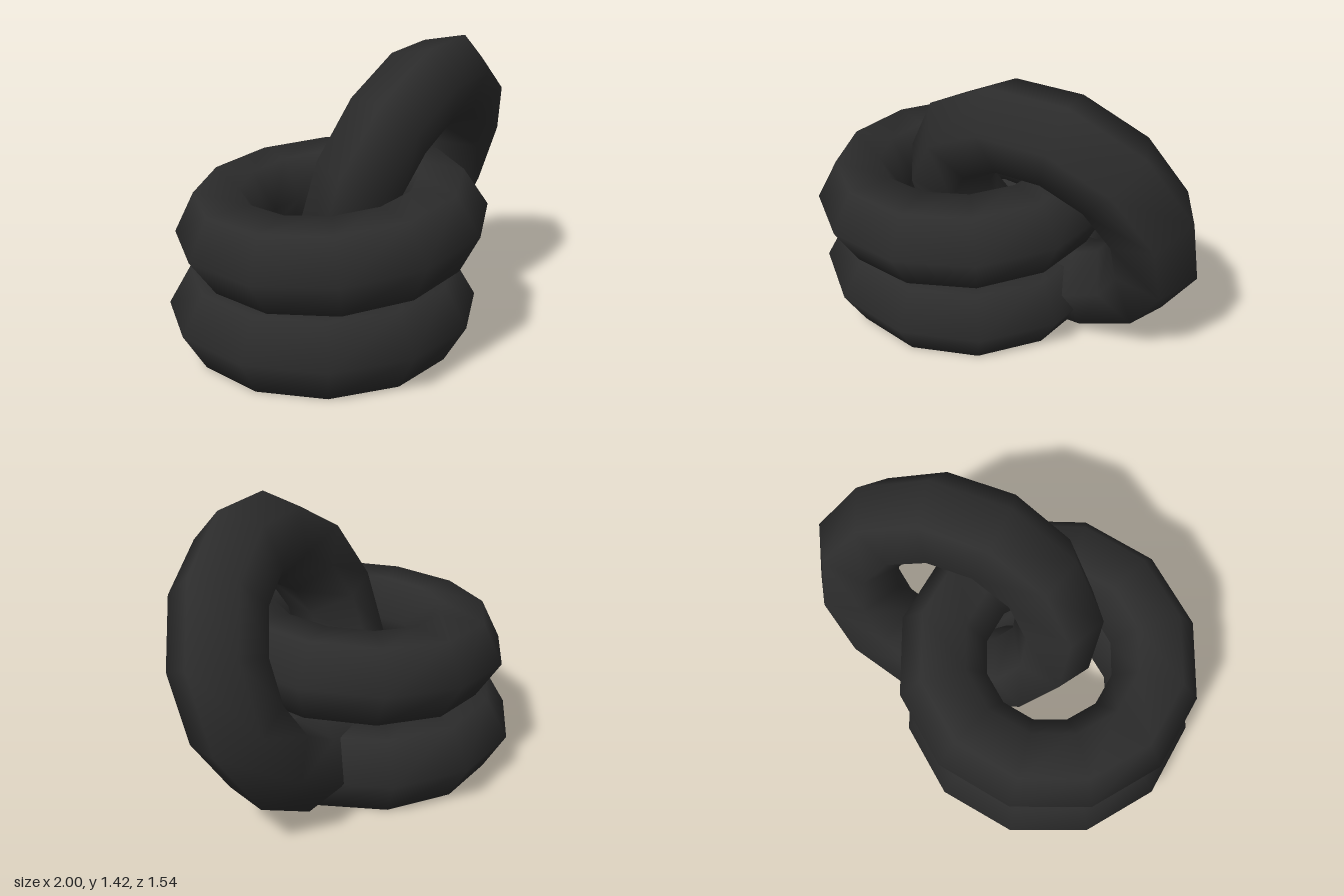
import * as THREE from 'three';

export function createModel() {
  const group = new THREE.Group();
  const material = new THREE.MeshStandardMaterial({ color: 0x2c2c2c });
  material.name = 'charcoal';

  // All links share one coarse, smooth-shaded ring with a six-sided section
  const ringGeometry = new THREE.TorusGeometry(0.537, 0.218, 6, 12);

  function addRing(name, x, y, z) {
    const ring = new THREE.Mesh(ringGeometry, material);
    ring.name = name;
    ring.position.set(x, y, z);
    group.add(ring);
    return ring;
  }

  // Ring lying flat on the ground
  const bottom = addRing('bottomRing', -0.245, 0.189, -0.015);
  bottom.rotation.x = -Math.PI / 2;

  // Ring resting on it, raised slightly toward +x
  const upper = addRing('upperRing', -0.21, 0.62, 0.02);
  upper.rotation.set(-Math.PI / 2, 0.08, 0, 'ZXY');
  upper.rotation.set(-Math.PI / 2, 0, 0.08, 'ZYX');

  // Leaning ring threaded through the other two
  const leaning = addRing('leaningRing', 0.315, 0.725, -0.105);
  const axis = new THREE.Vector3(0.412, -0.312, 0.857).normalize();
  const side = new THREE.Vector3(0.685, 0.205, -0.255).projectOnPlane(axis).normalize();
  const up = new THREE.Vector3().crossVectors(axis, side);
  leaning.quaternion.setFromRotationMatrix(new THREE.Matrix4().makeBasis(side, up, axis));

  return group;
}
